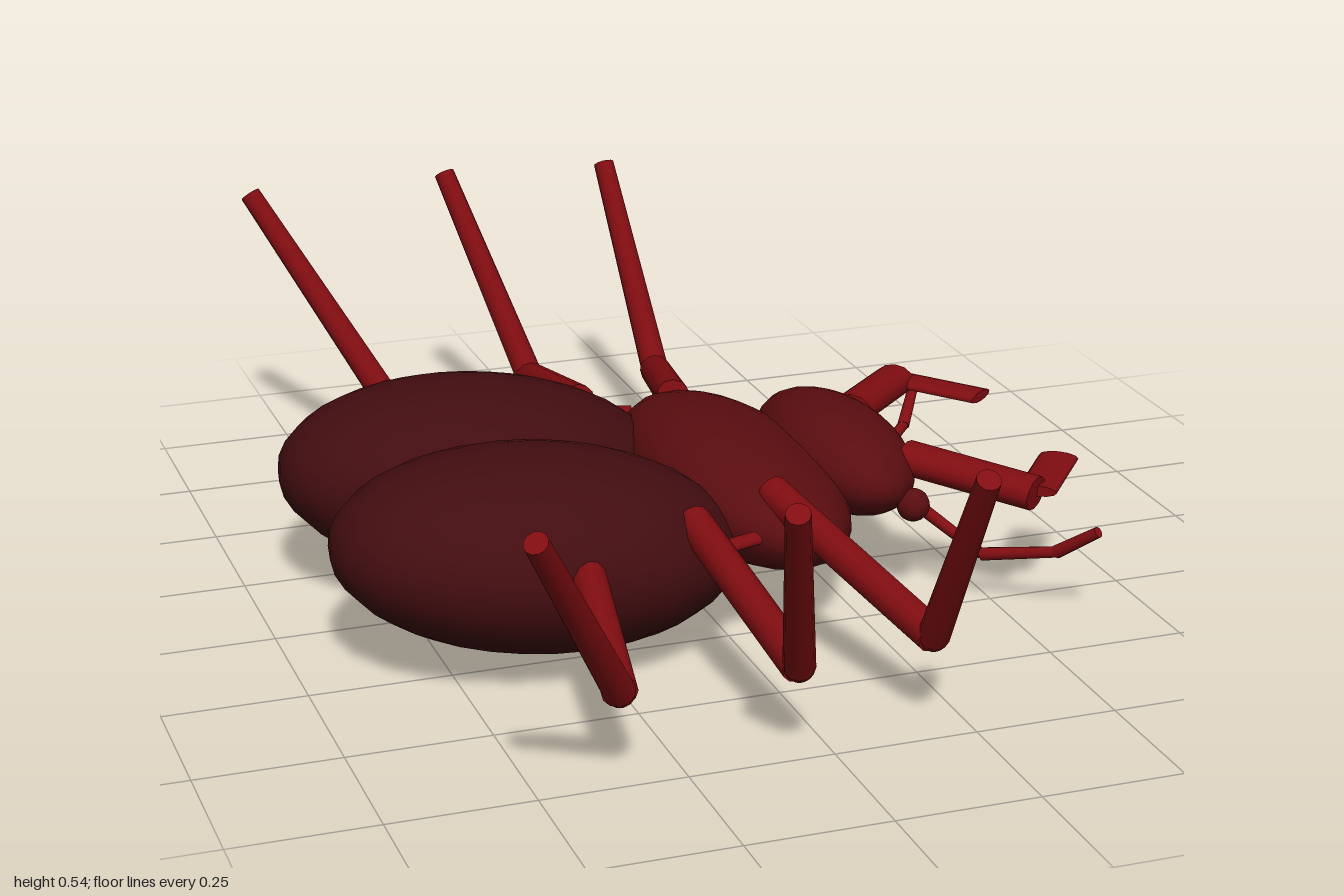
import * as THREE from 'three';

export function createModel() {
  const mat = (name, color) => {
    const m = new THREE.MeshStandardMaterial({ color });
    m.name = name;
    return m;
  };
  const wingRed = mat('darkMaroon', 0x420d10);
  const bodyRed = mat('maroon', 0x5a0d10);
  const limbRed = mat('deepRed', 0x800d11);

  const beetle = new THREE.Group();
  beetle.name = 'beetle';

  const add = (name, geometry, material) => {
    const mesh = new THREE.Mesh(geometry, material);
    mesh.name = name;
    beetle.add(mesh);
    return mesh;
  };

  // Ellipsoid with a slight nose-down pitch
  const ellipsoid = (name, pos, radii, pitch, material, segs = 20) => {
    const mesh = add(name, new THREE.SphereGeometry(1, segs, Math.round(segs * 0.8)), material);
    mesh.scale.set(...radii);
    mesh.position.set(...pos);
    mesh.rotation.z = pitch;
    return mesh;
  };

  // Round rod between two points; flatten squashes it vertically
  const rod = (name, a, b, ra, rb, material, flatten = 1) => {
    const start = new THREE.Vector3(...a);
    const end = new THREE.Vector3(...b);
    const dir = end.clone().sub(start);
    const geo = new THREE.CylinderGeometry(rb, ra, dir.length(), 12);
    const yAxis = dir.clone().normalize();
    const xAxis = new THREE.Vector3().crossVectors(yAxis, new THREE.Vector3(0, 1, 0)).normalize();
    const zAxis = new THREE.Vector3().crossVectors(xAxis, yAxis);
    geo.scale(1, 1, flatten);
    geo.applyMatrix4(new THREE.Matrix4().makeBasis(xAxis, yAxis, zAxis));
    const mesh = add(name, geo, material);
    mesh.position.copy(start.add(end).multiplyScalar(0.5));
    return mesh;
  };

  // Thorax and head, facing +x
  ellipsoid('thorax', [0.1, 0.2, 0], [0.183, 0.113, 0.36], -0.25, bodyRed, 24);
  ellipsoid('head', [0.295, 0.228, 0], [0.125, 0.093, 0.237], -0.2, bodyRed, 24);

  // Underside beak, curving back between the wing cases
  const beakCurve = new THREE.CatmullRomCurve3([
    new THREE.Vector3(0.07, 0.045, 0),
    new THREE.Vector3(-0.2, 0.024, 0),
    new THREE.Vector3(-0.4, 0.05, 0),
    new THREE.Vector3(-0.58, 0.13, 0),
  ]);
  add('beak', new THREE.TubeGeometry(beakCurve, 20, 0.019, 10), limbRed);
  const cap = add('beakTip', new THREE.CircleGeometry(0.019, 10), limbRed);
  cap.position.set(0.07, 0.045, 0);
  cap.rotation.y = Math.PI / 2;

  // Hip, knee and foot of each leg on the +z side
  const legs = {
    front: [[0.075, 0.27, 0.26], [0.19, 0.165, 0.7], [0.165, 0.53, 0.945]],
    middle: [[-0.09, 0.26, 0.32], [-0.06, 0.165, 0.74], [-0.16, 0.53, 0.98]],
    rear: [[-0.31, 0.23, 0.42], [-0.36, 0.165, 0.735], [-0.56, 0.53, 0.96]],
  };
  const feelerPath = [[0.37, 0.185, 0.13], [0.48, 0.095, 0.25], [0.58, 0.122, 0.345], [0.628, 0.178, 0.41]];

  for (const [side, s] of [['right', 1], ['left', -1]]) {
    const m = ([x, y, z]) => [x, y, z * s];

    ellipsoid(side + 'WingCase', m([-0.33, 0.198, 0.19]), [0.362, 0.17, 0.26], -0.1, wingRed, 24);
    ellipsoid(side + 'Eye', m([0.362, 0.19, 0.21]), [0.03, 0.03, 0.03], 0, bodyRed, 12);

    // Small bumps under the wing case
    for (const [x, y] of [[-0.43, 0.046], [-0.255, 0.034], [-0.08, 0.06]]) {
      ellipsoid(side + 'BellyBump', m([x, y, 0.19]), [0.03, 0.02, 0.025], 0, limbRed, 10);
    }

    // Legs
    for (const [name, [hip, knee, foot]] of Object.entries(legs)) {
      rod(`${side}${name}UpperLeg`, m(hip), m(knee), 0.031, 0.03, limbRed);
      rod(`${side}${name}LowerLeg`, m(knee), m(foot), 0.027, 0.02, limbRed);
      ellipsoid(`${side}${name}Knee`, m(knee), [0.026, 0.026, 0.026], 0, limbRed, 10);
    }
    rod(side + 'HipPeg', m([-0.08, 0.22, 0.365]), m([0.018, 0.22, 0.335]), 0.018, 0.018, limbRed, 0.6);

    // Jaw with a flat inward-turned blade
    rod(side + 'Jaw', m([0.38, 0.25, 0.13]), m([0.548, 0.228, 0.32]), 0.04, 0.04, limbRed, 0.75);
    rod(side + 'JawBlade', m([0.552, 0.23, 0.315]), m([0.663, 0.23, 0.172]), 0.036, 0.036, limbRed, 0.28);

    // Bent feeler
    for (let i = 0; i < 3; i++) {
      rod(side + 'Feeler', m(feelerPath[i]), m(feelerPath[i + 1]), 0.012, 0.01, limbRed);
    }
  }
  return beetle;
}
